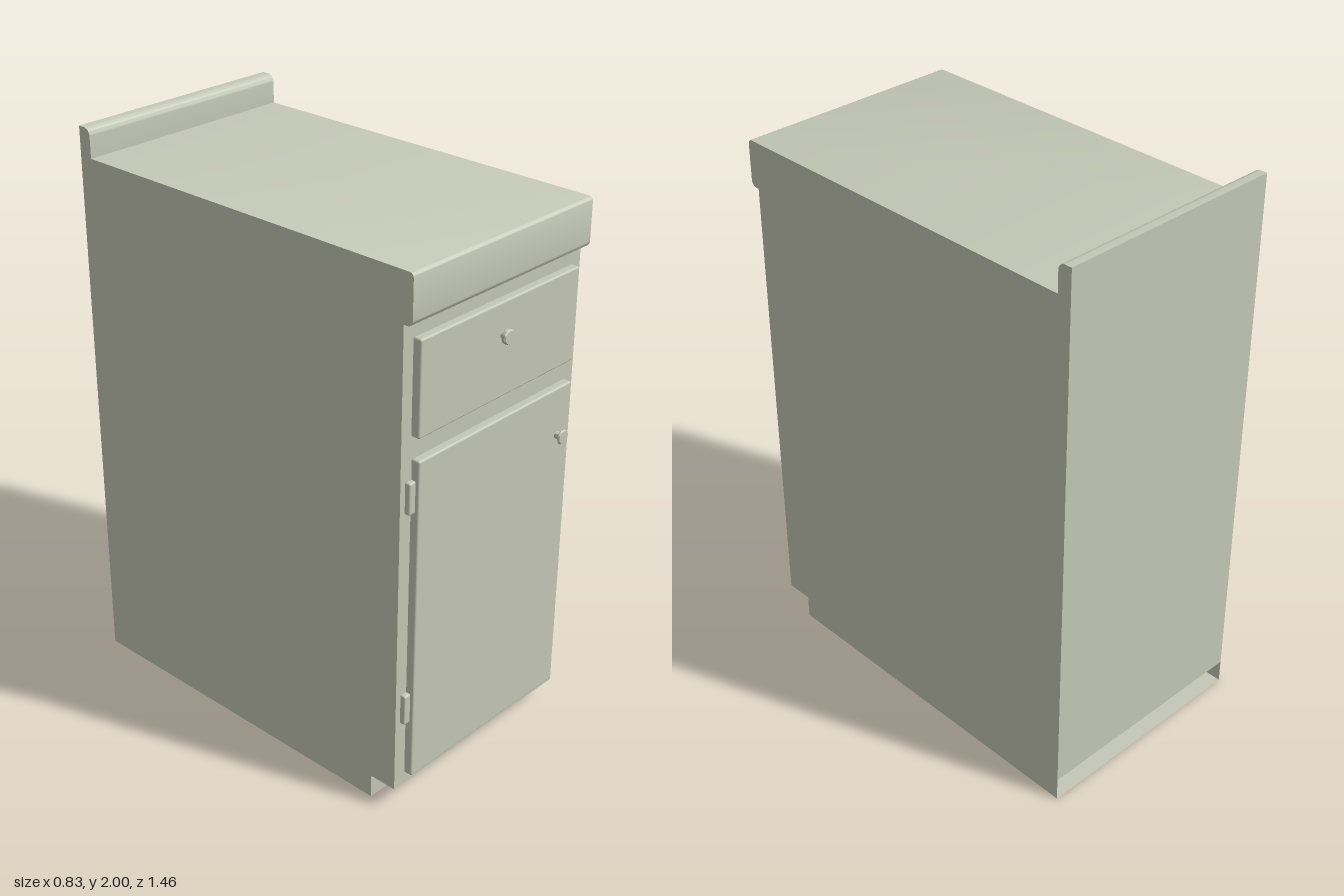
import * as THREE from 'three';
import { toCreasedNormals } from 'three/addons/utils/BufferGeometryUtils.js';
import { RoundedBoxGeometry } from 'three/addons/geometries/RoundedBoxGeometry.js';

const HALF = 0.415;
const material = new THREE.MeshStandardMaterial({ color: 0xc4c8b6, side: THREE.DoubleSide });

function add(parent, name, geometry, x = 0, y = 0, z = 0) {
  const mesh = new THREE.Mesh(geometry, material);
  mesh.name = name;
  mesh.position.set(x, y, z);
  parent.add(mesh);
  return mesh;
}

// Points on a quarter round, angles in degrees
function arc(cz, cy, r, from, to, n = 6) {
  return Array.from({ length: n + 1 }, (_, i) => {
    const a = THREE.MathUtils.degToRad(from + (to - from) * i / n);
    return [cz + r * Math.cos(a), cy + r * Math.sin(a)];
  });
}

// Sheet stretched across the width along an open (z, y) profile
function sheet(profile) {
  const pos = [];
  for (let i = 0; i < profile.length - 1; i++) {
    const [az, ay] = profile[i], [bz, by] = profile[i + 1];
    pos.push(-HALF, ay, az, -HALF, by, bz, HALF, by, bz);
    pos.push(-HALF, ay, az, HALF, by, bz, HALF, ay, az);
  }
  const g = new THREE.BufferGeometry();
  g.setAttribute('position', new THREE.Float32BufferAttribute(pos, 3));
  return toCreasedNormals(g, 0.6);
}

// Round knob turned from a (radius, height) profile, pointing forward
function knob(points) {
  const g = new THREE.LatheGeometry(points.map(([r, h]) => new THREE.Vector2(r, h)), 32);
  return toCreasedNormals(g.rotateX(Math.PI / 2), 0.6);
}

export function createModel() {
  const cabinet = new THREE.Group();
  cabinet.name = 'cabinet';

  // Back, backsplash, worktop, front, toe kick and floor in one outline,
  // open low at the back
  const profile = [
    [-0.73, 0.085], [-0.73, 2],
    ...arc(-0.705, 1.975, 0.025, 90, 0),
    [-0.68, 1.9],
    ...arc(0.685, 1.885, 0.015, 90, 0),
    ...arc(0.68, 1.755, 0.02, 0, -90),
    [0.667, 1.735], [0.667, 0.085], [0.567, 0.085], [0.567, 0], [-0.73, 0],
  ];
  add(cabinet, 'shell', sheet(profile));

  // Side panels
  const shape = new THREE.Shape(profile.map(([z, y]) => new THREE.Vector2(z, y)));
  for (const s of [-1, 1]) {
    const side = new THREE.ShapeGeometry(shape).rotateY(s * Math.PI / 2);
    if (s > 0) side.scale(1, 1, -1).index.array.reverse();
    // Face each panel outward
    if (s < 0) side.index.array.reverse();
    side.deleteAttribute('normal');
    side.computeVertexNormals();
    add(cabinet, s > 0 ? 'leftSide' : 'rightSide', side, s * HALF);
  }

  // Partition inside, seen through the low opening
  add(cabinet, 'innerPartition', sheet([[-0.26, 0.001], [-0.26, 1.89]]));

  // Drawer front and door
  const panel = (w, h) => new RoundedBoxGeometry(w, h, 0.034, 3, 0.007);
  add(cabinet, 'drawerFront', panel(0.745, 0.32), -0.002, 1.525, 0.683);
  add(cabinet, 'door', panel(0.74, 1.16), 0, 0.71, 0.683);

  // Knobs
  add(cabinet, 'drawerKnob', knob([
    [0.011, 0], [0.011, 0.012], [0.021, 0.013], [0.024, 0.017],
    [0.024, 0.026], [0.021, 0.03], [0, 0.03],
  ]), -0.003, 1.577, 0.699);
  add(cabinet, 'doorKnob', knob([
    [0.013, 0], [0.013, 0.018], [0.022, 0.02], [0.025, 0.024],
    [0.022, 0.03], [0, 0.031],
  ]), 0.307, 1.12, 0.699);

  // Hinges
  for (const y of [0.395, 1.165]) {
    add(cabinet, 'hinge', new RoundedBoxGeometry(0.03, 0.11, 0.022, 3, 0.006), -0.38, y, 0.676);
  }
  return cabinet;
}
